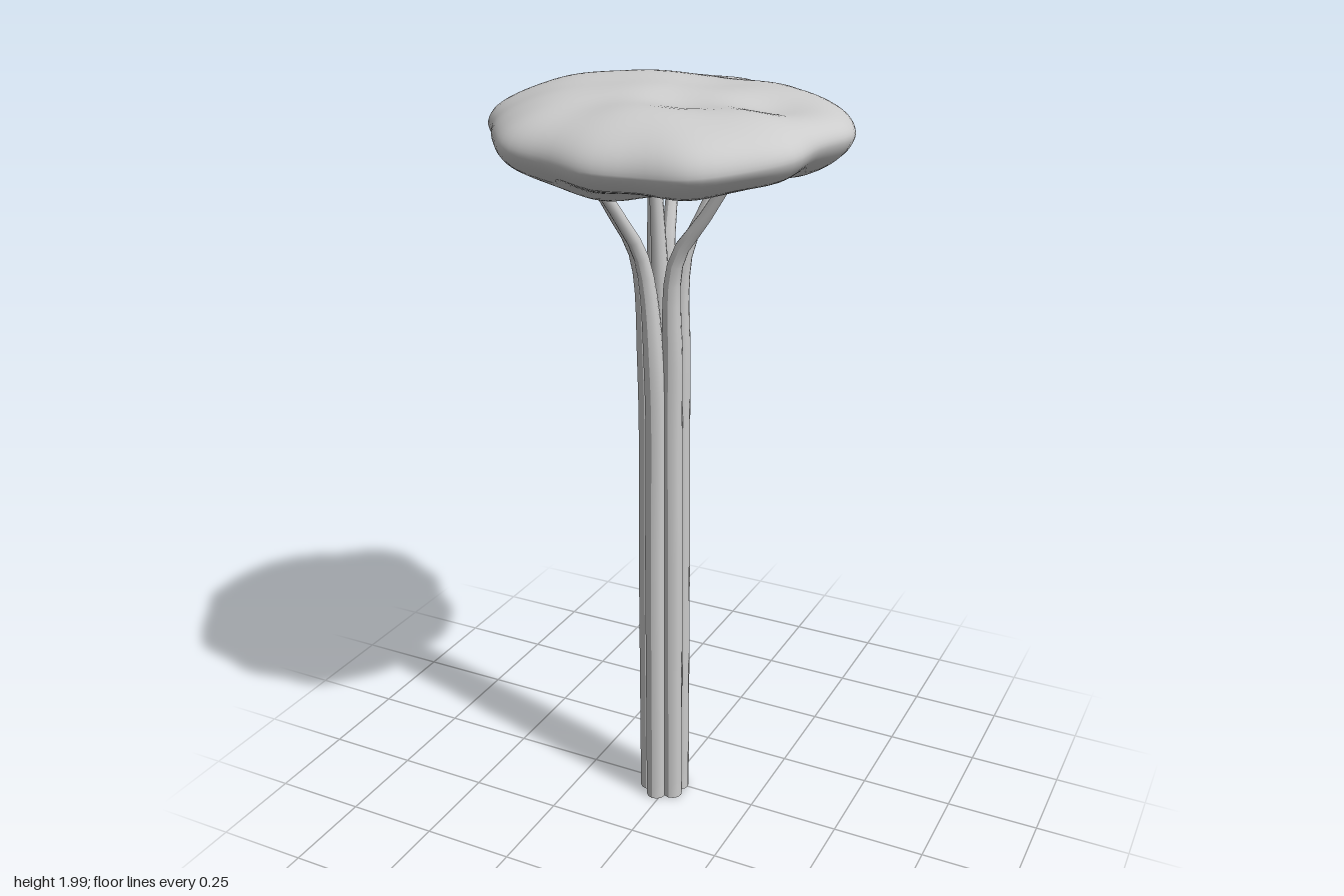
import * as THREE from 'three';
import { mergeVertices } from 'three/addons/utils/BufferGeometryUtils.js';

const material = new THREE.MeshStandardMaterial({ color: 0xcccccc });

// Soft round bump centred on (cx, cz)
const bump = (x, z, cx, cz, radius, height) =>
  height * Math.exp(-((x - cx) ** 2 + (z - cz) ** 2) / (radius * radius));

// Canopy rim radius every 15 degrees, from +x towards +z
const rimRadii = [
  0.452, 0.435, 0.472, 0.477, 0.486, 0.452, 0.453, 0.44, 0.46, 0.438, 0.43, 0.455,
  0.455, 0.456, 0.445, 0.428, 0.415, 0.45, 0.448, 0.415, 0.408, 0.385, 0.415, 0.435,
];

function createCanopy() {
  const rim = new THREE.CatmullRomCurve3(rimRadii.map((r, i) => {
    const a = (i / rimRadii.length) * Math.PI * 2;
    const y = 1.885 - 0.016 * Math.sin(a) + 0.01 * Math.sin(3 * a + 1);
    return new THREE.Vector3(r * Math.cos(a), y, r * Math.sin(a));
  }), true);

  let geometry = new THREE.SphereGeometry(1, 96, 48);
  geometry.deleteAttribute('uv');
  geometry.deleteAttribute('normal');
  geometry = mergeVertices(geometry, 1e-4);
  const pos = geometry.attributes.position;
  for (let i = 0; i < pos.count; i++) {
    const sx = pos.getX(i), sy = pos.getY(i), sz = pos.getZ(i);
    const s = Math.min(1, Math.hypot(sx, sz));
    const turn = Math.atan2(sz, sx) / (Math.PI * 2);
    const edge = rim.getPoint((turn + 1) % 1);
    const x = edge.x * s, z = edge.z * s;
    const ripple = 0.004 * Math.sin(19 * x + 8 * z + 1) * Math.sin(17 * z - 6 * x);
    let y;
    if (sy >= 0) {
      // Flattened crown with low lobes and dips
      const top = 1.974 + ripple
        + bump(x, z, -0.15, -0.03, 0.2, 0.021) + bump(x, z, 0.25, -0.24, 0.12, 0.014)
        + bump(x, z, 0.05, 0.3, 0.14, 0.008) - bump(x, z, 0.26, 0.03, 0.09, 0.024)
        - bump(x, z, 0.08, 0.13, 0.09, 0.014) - bump(x, z, 0.12, -0.3, 0.08, 0.025)
        - bump(x, z, -0.1, -0.42, 0.18, 0.015);
      y = edge.y + (top - edge.y) * Math.pow(1 - s ** 4, 0.52);
    } else {
      // Lumpy underside with a low central bulge, shallower towards the back
      const bottom = 1.77 + 2 * ripple
        + 0.045 * THREE.MathUtils.smoothstep(-z, 0.16, 0.27)
        - bump(x, z, -0.09, 0.14, 0.15, 0.042) - bump(x, z, 0.1, -0.1, 0.13, 0.022)
        + bump(x, z, 0.28, 0.12, 0.13, 0.012) + bump(x, z, -0.27, -0.05, 0.1, 0.015);
      y = edge.y - (edge.y - bottom) * Math.pow(1 - s ** 3.2, 0.57);
    }
    pos.setXYZ(i, x, y, z);
  }
  geometry.computeVertexNormals();
  const mesh = new THREE.Mesh(geometry, material);
  mesh.name = 'canopy';
  return mesh;
}

// Tube through [x, y, z] points, narrowing from r0 to r1 and capped at its foot
function createStem(points, r0, r1, name) {
  const path = new THREE.CatmullRomCurve3(points.map((p) => new THREE.Vector3(...p)), false, 'centripetal');
  const rows = 36, sides = 12;
  const geometry = new THREE.TubeGeometry(path, rows, 1, sides, false);
  const pos = geometry.attributes.position;
  const v = new THREE.Vector3();
  for (let i = 0; i < pos.count; i++) {
    const t = Math.floor(i / (sides + 1)) / rows;
    const centre = path.getPointAt(t);
    const radius = THREE.MathUtils.lerp(r0, r1, THREE.MathUtils.smoothstep(t, 0.65, 1));
    v.fromBufferAttribute(pos, i).sub(centre).multiplyScalar(radius).add(centre);
    if (t === 0) v.y = 0;
    pos.setXYZ(i, v.x, v.y, v.z);
  }
  geometry.computeVertexNormals();
  const group = new THREE.Group();
  group.name = name;
  const tube = new THREE.Mesh(geometry, material);
  tube.name = name + 'Tube';
  const foot = new THREE.Mesh(new THREE.CircleGeometry(r0, sides), material);
  foot.name = name + 'Foot';
  foot.rotation.x = Math.PI / 2;
  foot.position.set(points[0][0], 0, points[0][2]);
  group.add(tube, foot);
  return group;
}

export function createModel() {
  const model = new THREE.Group();
  model.name = 'tree';
  model.add(createCanopy());

  // Bundled stems: foot x, z; bend x, z; tip x, y, z
  const stems = [
    [-0.052, 0.035, -0.072, 0.05, -0.17, 1.8, 0.13],
    [-0.016, 0.068, -0.04, 0.084, -0.1, 1.79, 0.21],
    [0.024, 0.045, 0.036, 0.05, 0.2, 1.82, 0.06],
    [0.024, 0.0, 0.034, -0.004, 0.12, 1.8, -0.06],
    [-0.012, -0.022, -0.02, -0.018, -0.045, 1.8, -0.11],
    [-0.044, -0.006, -0.05, 0.0, -0.05, 1.8, 0.0],
  ];
  const trunk = new THREE.Group();
  trunk.name = 'trunk';
  stems.forEach(([x, z, bx, bz, tx, ty, tz], i) => {
    trunk.add(createStem([
      [x, 0, z], [x, 0.7, z], [x, 1.28, z], [bx, 1.57, bz],
      [bx * 0.55 + tx * 0.45, 1.68, bz * 0.55 + tz * 0.45], [tx, ty, tz],
    ], 0.027, 0.014, 'stem' + (i + 1)));
  });
  // Inner stem fills the bundle
  trunk.add(createStem([
    [-0.014, 0, 0.022], [-0.014, 1.2, 0.022], [-0.02, 1.55, 0.028], [-0.03, 1.8, 0.035],
  ], 0.03, 0.016, 'innerStem'));
  model.add(trunk);
  return model;
}
